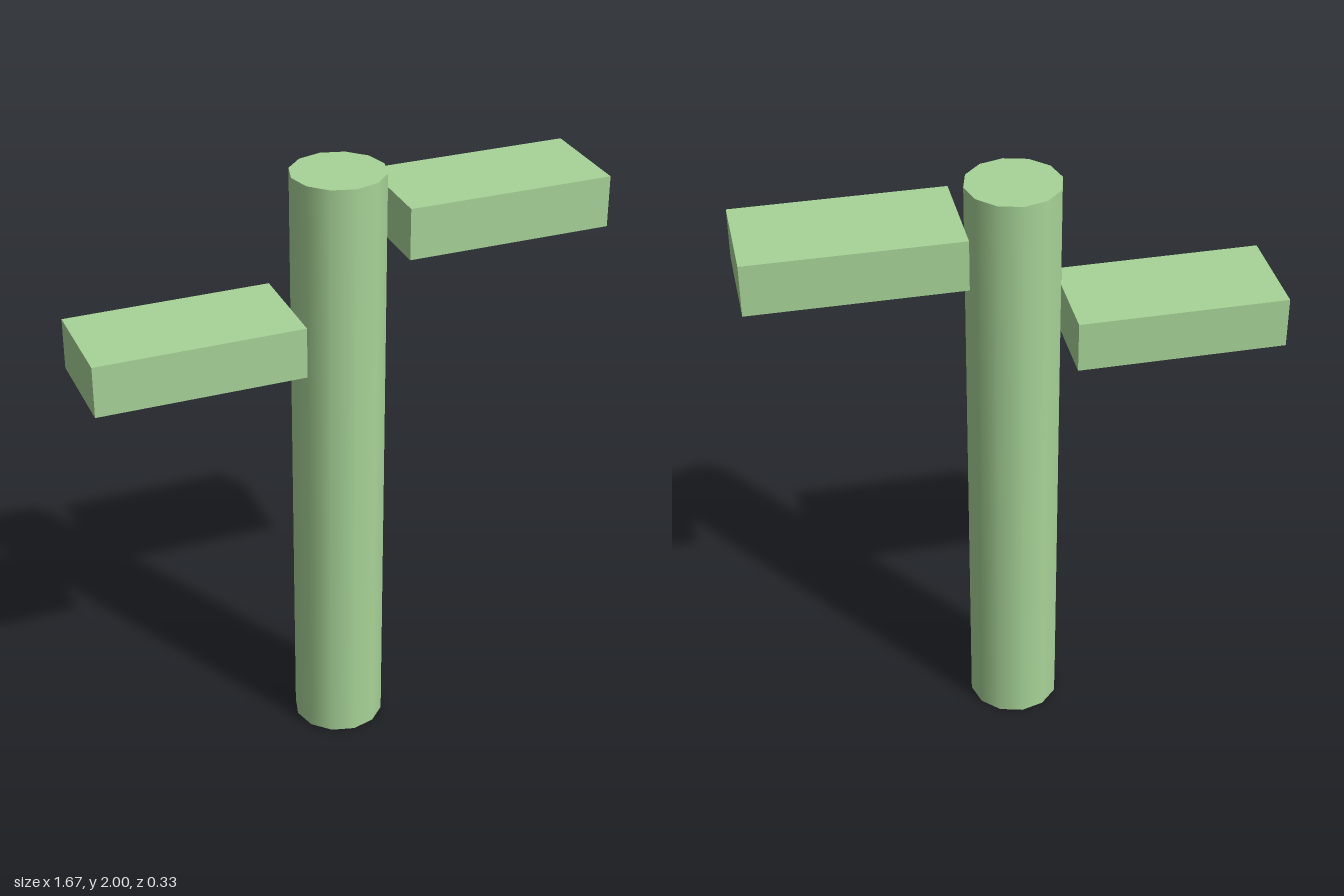
import * as THREE from 'three';

export function createModel() {
  const group = new THREE.Group();
  const paleGreen = new THREE.MeshStandardMaterial({ color: 0xa8d498 });
  paleGreen.name = 'paleGreen';

  const add = (name, geometry, x, y) => {
    const mesh = new THREE.Mesh(geometry, paleGreen);
    mesh.name = name;
    mesh.position.set(x, y, 0);
    group.add(mesh);
  };

  // Upright twelve-sided trunk with smooth sides
  add('trunk', new THREE.CylinderGeometry(0.15, 0.15, 2, 12), 0, 1);

  // Two flat arms at different heights, each just clear of the trunk
  const arm = new THREE.BoxGeometry(0.6667, 0.1667, 0.3333);
  add('leftArm', arm, 0.5, 1.8333);
  add('rightArm', arm, -0.5, 1.5);

  return group;
}
